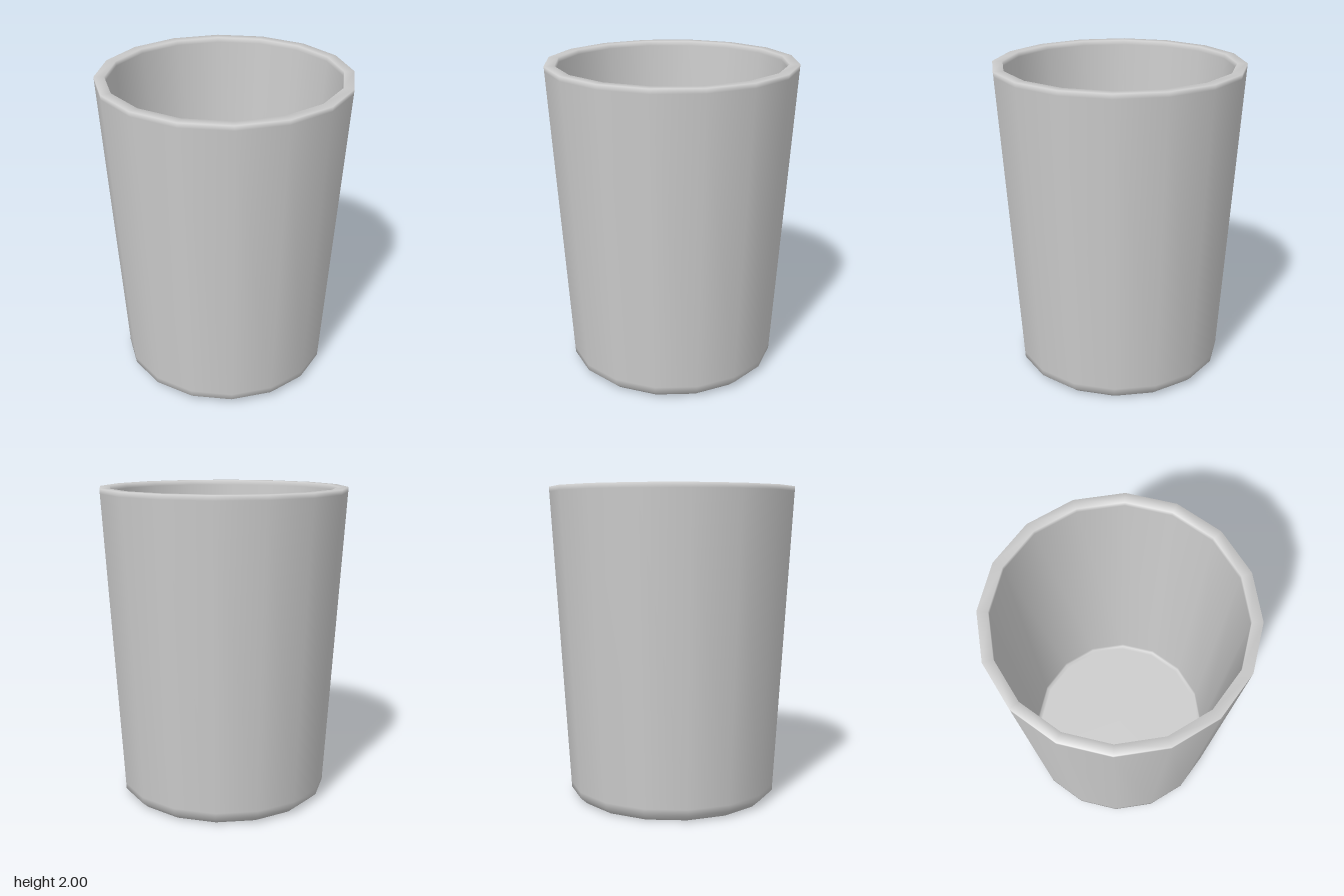
import * as THREE from 'three';

export function createModel() {
  const group = new THREE.Group();
  const material = new THREE.MeshStandardMaterial({ color: 0xcccccc });

  // Wall profile, from the centre of the base, up the outside, over the rim, down to the floor
  const profile = [
    [0, 0], [0.6, 0], [0.63, 0], [0.674, 0.04], [0.676, 0.08],   // base and its bevel
    [0.784, 1.97], [0.786, 2], [0.722, 2], [0.72, 1.97],         // outer wall and rim
    [0.619, 0.11], [0.614, 0.08], [0.59, 0.08], [0, 0.08],       // inner wall and floor
  ].map(([r, y]) => new THREE.Vector2(r, y));

  // Sixteen-sided tapered tumbler
  const cup = new THREE.Mesh(new THREE.LatheGeometry(profile, 16), material);
  cup.name = 'cup';
  group.add(cup);
  return group;
}
